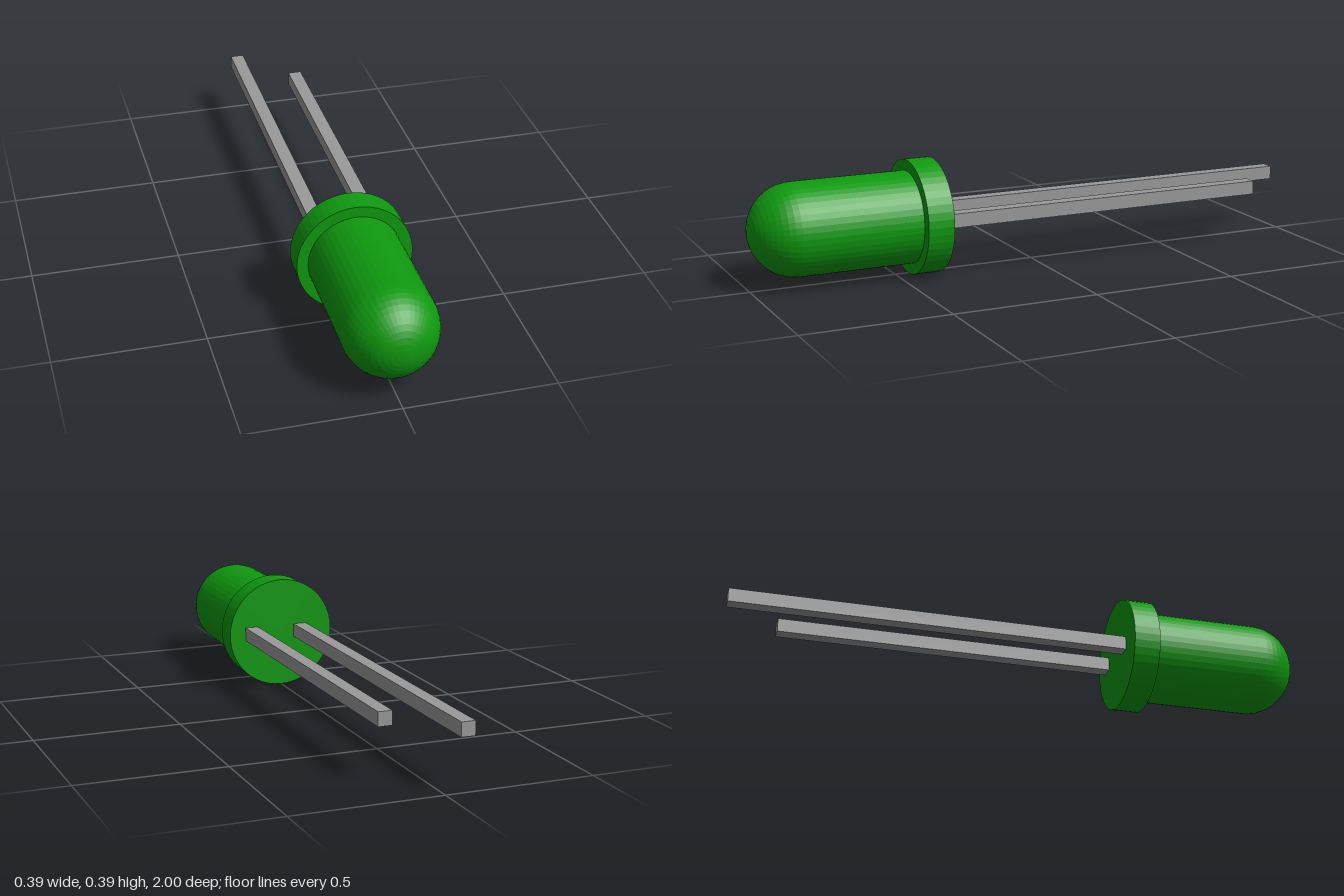
import * as THREE from 'three';

const AXIS_Y = 0.193;
const SIDES = 48;

export function createModel() {
  const green = new THREE.MeshStandardMaterial({ name: 'green plastic', color: 0x0f990f, flatShading: true });
  const grey = new THREE.MeshStandardMaterial({ name: 'grey metal', color: 0x999999, flatShading: true });
  const group = new THREE.Group();
  group.name = 'lightEmittingDiode';

  const add = (name, geometry, material, x, y, z) => {
    const mesh = new THREE.Mesh(geometry, material);
    mesh.name = name;
    mesh.position.set(x, y, z);
    group.add(mesh);
  };

  // Round parts turn about the z axis; profile points are [radius, z], back to front
  const turned = (name, profile) => {
    const points = profile.map(([r, z]) => new THREE.Vector2(r, z));
    const geometry = new THREE.LatheGeometry(points, SIDES).rotateX(Math.PI / 2);
    add(name, geometry, green, 0, AXIS_Y, 0);
  };

  // Base flange
  turned('flange', [[0, 0.362], [0.193, 0.362], [0.193, 0.453], [0, 0.453]]);

  // Cylindrical lens with a hemispherical tip
  const radius = 0.156;
  const steps = 12;
  const lens = [[radius, 0.453]];
  for (let i = 0; i <= steps; i++) {
    const a = (i / steps) * Math.PI / 2;
    lens.push([i === steps ? 0 : radius * Math.cos(a), 1 - radius + radius * Math.sin(a)]);
  }
  turned('lens', lens);

  // Square leads, one longer than the other
  const lead = (name, x, endZ) => {
    const startZ = 0.37;
    add(name, new THREE.BoxGeometry(0.047, 0.047, startZ - endZ), grey, x, 0.196, (startZ + endZ) / 2);
  };
  lead('longLead', -0.072, -1);
  lead('shortLead', 0.111, -0.81);

  return group;
}
